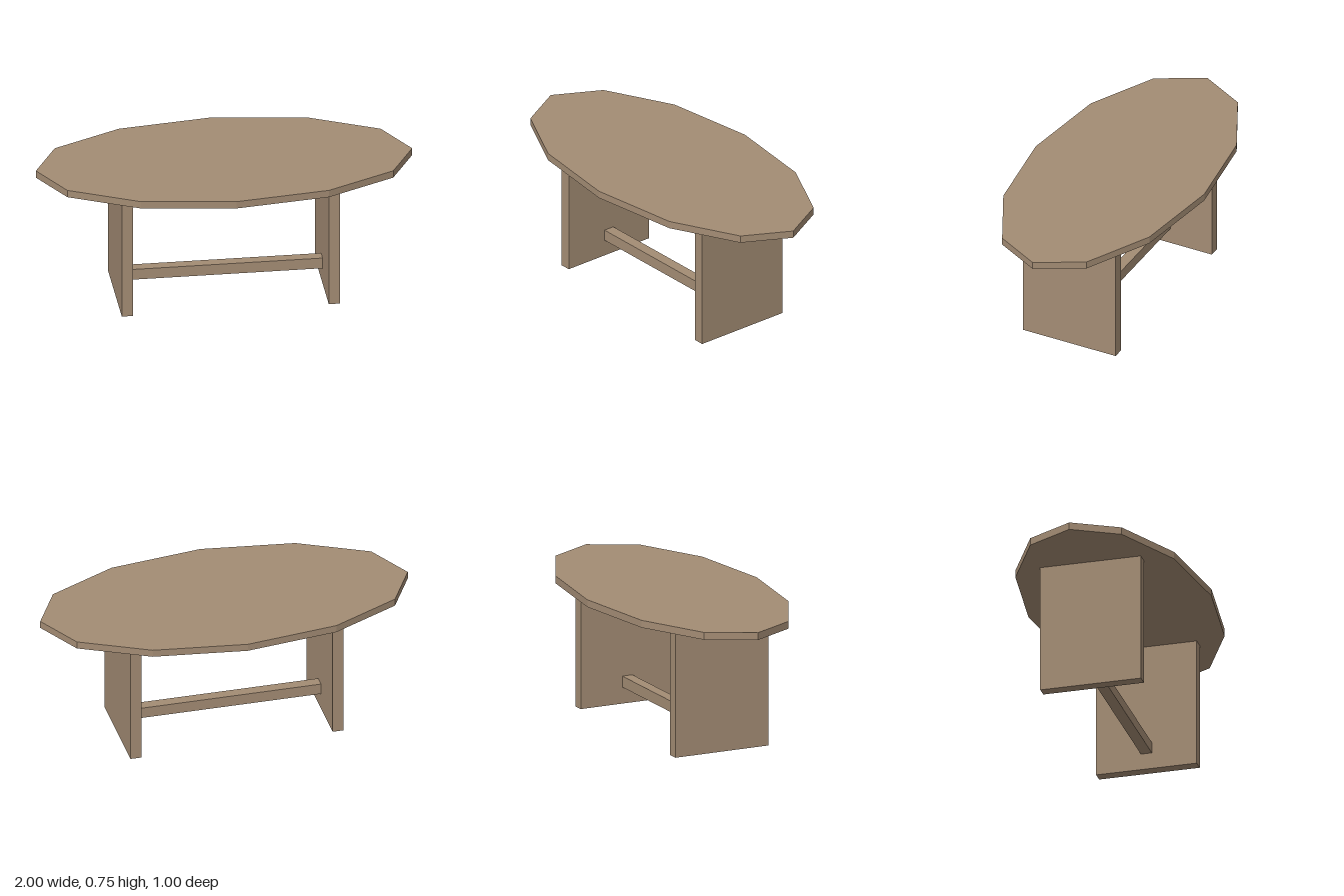
import * as THREE from 'three';

export function createModel() {
  const table = new THREE.Group();
  table.name = 'table';

  const wood = new THREE.MeshStandardMaterial({ color: 0xa38c74, flatShading: true });
  wood.name = 'wood';

  function add(name, geometry, x, y, z) {
    const mesh = new THREE.Mesh(geometry, wood);
    mesh.name = name;
    mesh.position.set(x, y, z);
    table.add(mesh);
  }

  // Twelve-sided oval top
  const top = new THREE.CylinderGeometry(1, 1, 0.04, 12).scale(1, 1, 0.5);
  add('tabletop', top, 0, 0.73, 0);

  // Upright panel legs, mirrored left and right
  for (const [name, side] of [['leftLegPanel', 1], ['rightLegPanel', -1]]) {
    add(name, new THREE.BoxGeometry(0.06, 0.71, 0.55), side * 0.55, 0.355, 0);
  }

  // Low rail joining the panels
  add('stretcher', new THREE.BoxGeometry(1.04, 0.06, 0.06), 0, 0.12, 0);

  return table;
}
